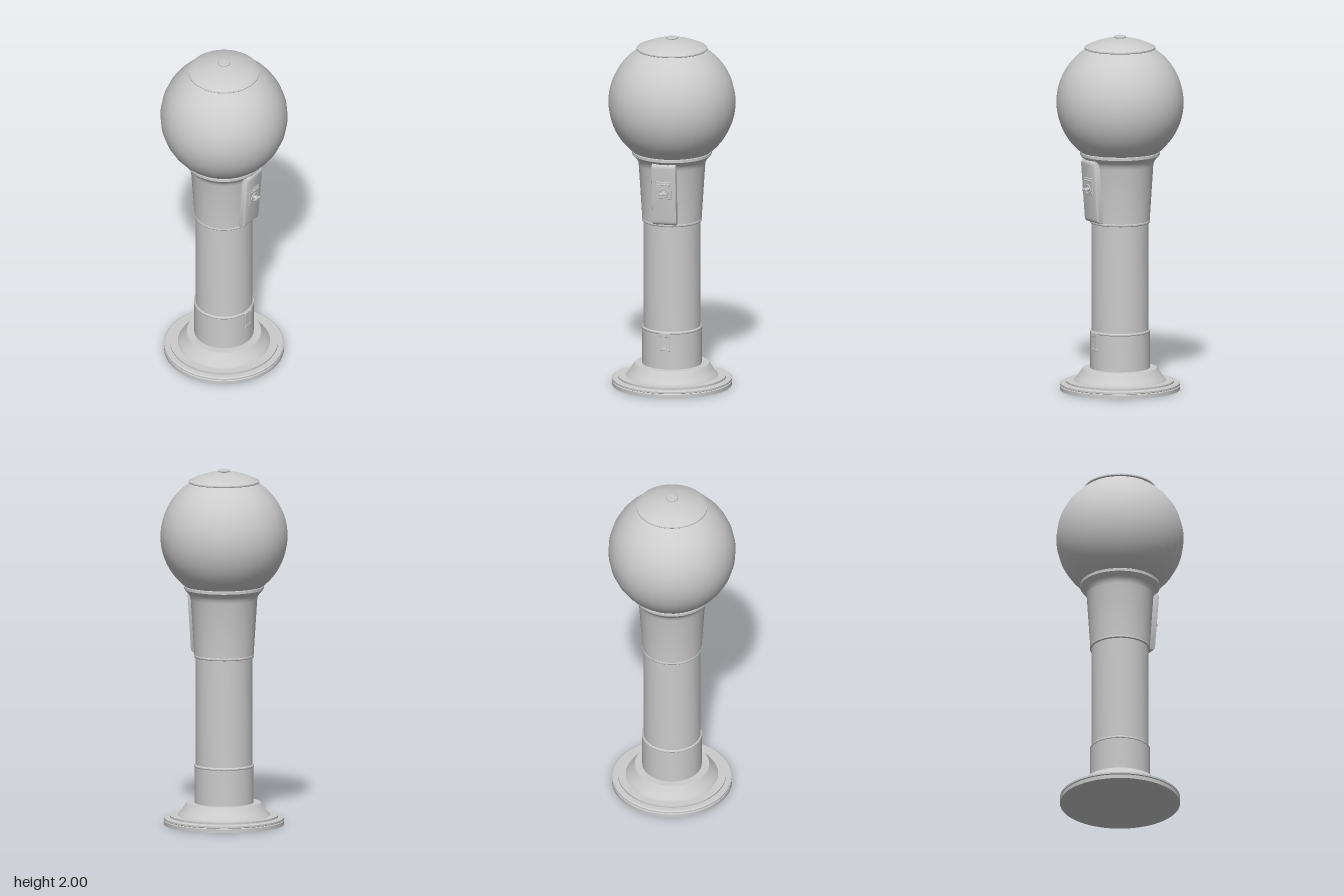
import * as THREE from 'three';
import { toCreasedNormals } from 'three/addons/utils/BufferGeometryUtils.js';
import { RoundedBoxGeometry } from 'three/addons/geometries/RoundedBoxGeometry.js';

const material = new THREE.MeshStandardMaterial({ color: 0xcccccc });

function add(parent, name, geometry, x = 0, y = 0, z = 0) {
  const mesh = new THREE.Mesh(geometry, material);
  mesh.name = name;
  mesh.position.set(x, y, z);
  parent.add(mesh);
  return mesh;
}

// Turned part: [radius, height] pairs from bottom to top, hard edges kept sharp
function turned(parent, name, profile, sides = 32) {
  const points = profile.map(([r, y]) => new THREE.Vector2(r, y));
  return add(parent, name, toCreasedNormals(new THREE.LatheGeometry(points, sides), 0.45));
}

// Short cylinder whose axis points to the front
function disc(parent, name, radius, depth, x, y, z) {
  const mesh = add(parent, name, new THREE.CylinderGeometry(radius, radius, depth, 24), x, y, z);
  mesh.rotation.x = Math.PI / 2;
  return mesh;
}

const box = (w, h, d, r = 0.003) => new RoundedBoxGeometry(w, h, d, 2, r);

export function createModel() {
  const model = new THREE.Group();
  model.name = 'gumballMachine';

  // Stepped foot and stand
  turned(model, 'base', [
    [0, 0], [0.335, 0], [0.335, 0.022], [0.329, 0.025], [0.335, 0.028], [0.335, 0.038],
    [0.328, 0.043], [0.302, 0.043], [0.302, 0.053], [0.258, 0.053], [0.25, 0.066],
    [0.234, 0.082], [0.22, 0.105], [0.207, 0.124], [0, 0.124],
  ], 48);
  turned(model, 'lowerColumn', [
    [0, 0.12], [0.166, 0.12], [0.166, 0.326], [0.168, 0.329], [0.168, 0.335], [0.164, 0.34], [0, 0.34],
  ], 48);
  turned(model, 'column', [[0, 0.335], [0.16, 0.335], [0.16, 0.95], [0, 0.95]], 48);

  // Tapered body flaring into the collar that holds the globe
  turned(model, 'body', [
    [0, 0.944], [0.165, 0.944], [0.168, 0.948], [0.168, 0.955], [0.166, 0.958], [0.186, 1.27],
    [0.19, 1.288], [0.2, 1.305], [0.214, 1.318], [0.222, 1.328], [0.222, 1.343],
    [0.217, 1.347], [0, 1.347],
  ], 48);

  // Globe, cut off under the collar and the lid
  const globe = new THREE.SphereGeometry(0.355, 32, 32, 0, Math.PI * 2, 0.5, 2.0);
  add(model, 'globe', globe, 0, 1.625, 0);
  turned(model, 'lid', [
    [0, 1.926], [0.195, 1.926], [0.198, 1.929], [0.198, 1.936], [0.193, 1.94], [0.165, 1.953],
    [0.13, 1.967], [0.09, 1.978], [0.045, 1.985], [0, 1.987],
  ], 48);
  turned(model, 'lidKnob', [
    [0, 1.98], [0.027, 1.98], [0.027, 1.988], [0.033, 1.99], [0.033, 1.997], [0.029, 2], [0, 2],
  ]);

  // Front housing: side outline swept across the width
  const outline = new THREE.Shape();
  outline.moveTo(0.12, 0.962);
  outline.lineTo(0.168, 0.962);
  outline.quadraticCurveTo(0.185, 0.965, 0.187, 0.985);
  outline.lineTo(0.211, 1.29);
  outline.quadraticCurveTo(0.212, 1.31, 0.195, 1.311);
  outline.lineTo(0.12, 1.311);
  const housing = new THREE.ExtrudeGeometry(outline, {
    depth: 0.124, bevelEnabled: true, bevelSize: 0.004, bevelThickness: 0.006,
    bevelSegments: 3, curveSegments: 8,
  }).translate(0, 0, -0.062).rotateY(-Math.PI / 2);
  add(model, 'frontHousing', toCreasedNormals(housing, 0.6));

  // Coin mechanism, lying on the sloping face of the housing
  const coin = new THREE.Group();
  coin.name = 'coinMechanism';
  coin.position.set(0, 1.15, 0.204);
  coin.rotation.x = 0.08;
  model.add(coin);
  add(coin, 'coinPlate', box(0.088, 0.1, 0.006), 0, 0.015, 0);
  add(coin, 'coinSlot', box(0.03, 0.007, 0.012), 0, 0.05, 0.002);
  for (const side of [-1, 1]) {
    add(coin, 'coinGuide', box(0.018, 0.009, 0.012), side * 0.028, 0.048, 0.002);
    disc(coin, 'plateScrew', 0.005, 0.006, side * 0.034, -0.02, 0.003);
  }
  add(coin, 'dialRing', new THREE.TorusGeometry(0.025, 0.004, 8, 28), 0, 0, 0.004);
  disc(coin, 'dialShaft', 0.01, 0.024, 0, 0, 0.012);
  add(coin, 'turnHandle', box(0.046, 0.014, 0.012, 0.005), 0, 0, 0.026);

  // Chute door at the foot of the housing
  add(model, 'chuteDoor', box(0.1, 0.07, 0.006), 0, 1.03, 0.191).rotation.x = 0.08;

  // Latch and small flap on the lower column
  add(model, 'latch', box(0.062, 0.024, 0.016), 0, 0.322, 0.163);
  add(model, 'flap', box(0.054, 0.085, 0.012), 0, 0.275, 0.161);
  add(model, 'flapLip', box(0.056, 0.014, 0.014), 0, 0.237, 0.162);

  return model;
}
